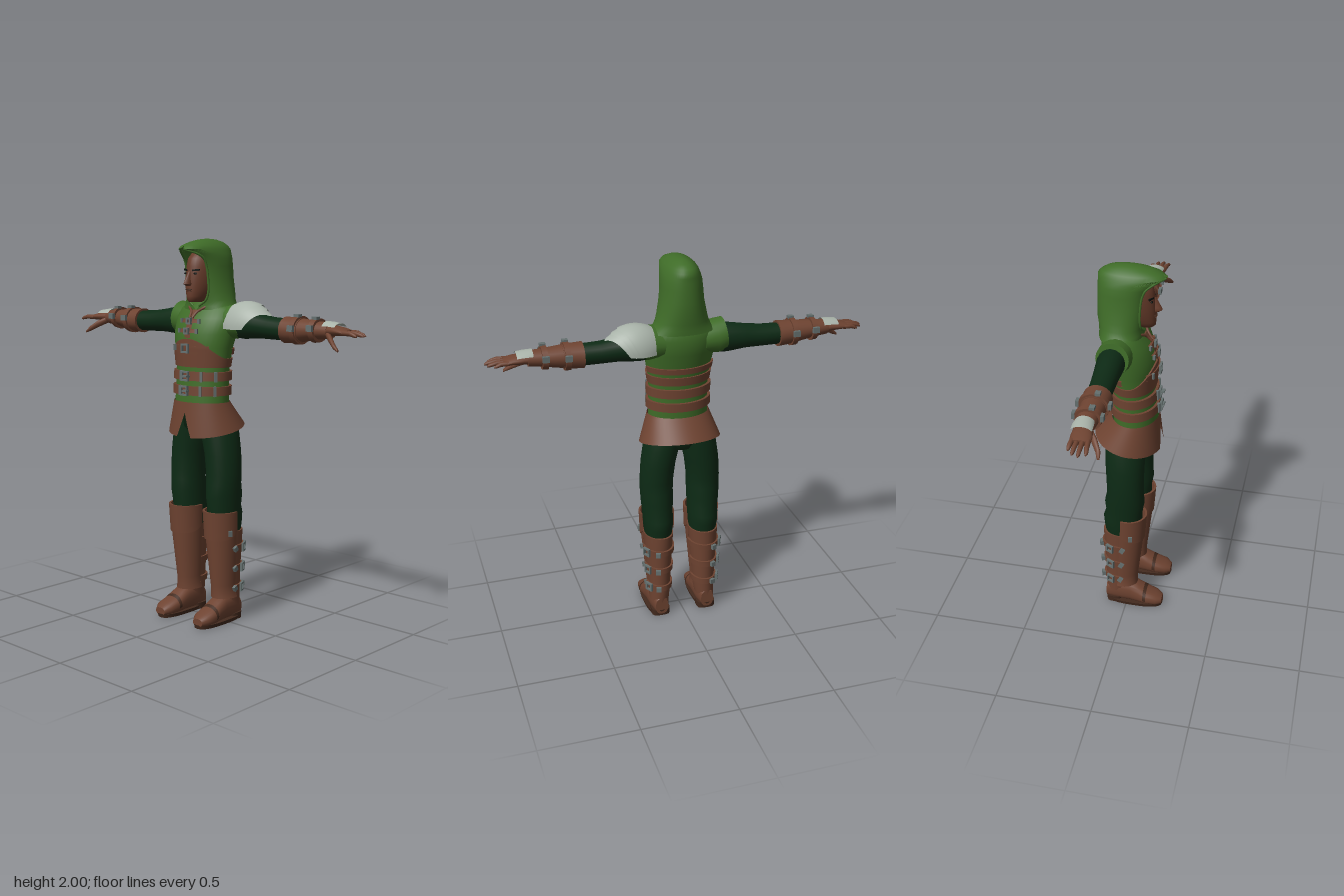
import * as THREE from 'three';
import { toCreasedNormals } from 'three/addons/utils/BufferGeometryUtils.js';

const PI = Math.PI;
const paint = (name, color, side = THREE.DoubleSide) => Object.assign(new THREE.MeshStandardMaterial({ color, side }), { name });

// Smooth normals that keep hard edges (enlarged so small parts stay distinct)
function crease(g, angle = 0.85) {
  g.scale(100, 100, 100);
  g = toCreasedNormals(g, angle);
  return g.scale(0.01, 0.01, 0.01);
}

// Surface from a rule fn(u, v) -> [x, y, z]
function grid(fn, nu, nv) {
  const pos = [], idx = [];
  for (let j = 0; j <= nv; j++) for (let i = 0; i <= nu; i++) pos.push(...fn(i / nu, j / nv));
  for (let j = 0; j < nv; j++) for (let i = 0; i < nu; i++) {
    const a = j * (nu + 1) + i, d = a + nu + 1;
    idx.push(a, a + 1, d + 1, a, d + 1, d);
  }
  const g = new THREE.BufferGeometry();
  g.setAttribute('position', new THREE.Float32BufferAttribute(pos, 3));
  g.setIndex(idx);
  return crease(g);
}

// Point on an oval section row [y, cx, cz, rx, rz]; t = 0 is the front
const pw = (v, e) => Math.sign(v) * Math.abs(v) ** e;
const oval = ([y, cx, cz, rx, rz], t, off = 0, e = 1) =>
  [cx + (rx + off) * pw(Math.sin(t), e), y, cz + (rz + off) * pw(Math.cos(t), e)];

// Closed body from oval rows, bottom to top
function loft(rows, n = 24, e = 1) {
  const end = r => [r[0], r[1], r[2], 0, 0];
  const all = [end(rows[0]), ...rows, end(rows[rows.length - 1])], m = all.length - 1;
  return grid((u, v) => oval(all[Math.round(v * m)], u * 2 * PI, 0, e), n, m);
}
// Open strip of a lofted shape between two angles
const shell = (rows, t0, t1, off = 0, n = 20) =>
  grid((u, v) => oval(rows[Math.round(v * (rows.length - 1))], t0 + (t1 - t0) * u, off), n, rows.length - 1);
// Rows [x, y, z, ry, rz] running along x
const alongX = rows => rows.map(([x, y, z, ry, rz]) => [x, -y, z, ry, rz]);
const limb = (rows, n = 20) => loft(alongX(rows), n).rotateZ(-PI / 2);

function rowAt(rows, y) {
  let i = 0;
  while (i < rows.length - 2 && y > rows[i + 1][0]) i++;
  const a = rows[i], b = rows[i + 1], f = (y - a[0]) / (b[0] - a[0]);
  return a.map((v, k) => v + (b[k] - v) * f);
}
// Band with folded edges lying on a lofted body
function wrap(rows, lo, hi, off, t0 = 0, t1 = 2 * PI, n = 40) {
  return grid((u, v) => {
    const t = t0 + (t1 - t0) * u, k = Math.round(v * 7);
    const f = Math.min(1, Math.max(0, (k - 1) / 5));
    const y = lo(t) + (hi(t) - lo(t)) * f;
    return oval(rowAt(rows, y), t, k === 0 || k === 7 ? -0.004 : off);
  }, n, 7);
}

function mirrorX(geo) {
  const g = geo.index ? geo.toNonIndexed() : geo.clone();
  g.applyMatrix4(new THREE.Matrix4().makeScale(-1, 1, 1));
  for (const a of Object.values(g.attributes)) {
    const s = a.itemSize;
    for (let i = 0; i < a.count; i += 3) for (let k = 0; k < s; k++) {
      const p = (i + 1) * s + k, q = p + s, h = a.array[p];
      a.array[p] = a.array[q]; a.array[q] = h;
    }
  }
  return g;
}

export function createModel() {
  const root = new THREE.Group();
  root.name = 'hoodedArcher';
  const green = paint('hoodGreen', 0x3f6c28), dark = paint('clothDarkGreen', 0x0d2a15), leather = paint('leather', 0x6e4331);
  const skin = paint('skin', 0x663b2a), silver = paint('silverPlate', 0xa9b3a9), metal = paint('buckleMetal', 0x65706f);
  const black = paint('browBlack', 0x0c100c), sole = paint('soleBrown', 0x432a1e);
  const add = (name, geo, mat) => { const m = new THREE.Mesh(geo, mat); m.name = name; root.add(m); };
  const pair = (name, geo, mat) => { add(name + 'Left', geo, mat); add(name + 'Right', mirrorX(geo), mat); };
  const box = (w, h, d, x, y, z, ry = 0, rz = 0) => new THREE.BoxGeometry(w, h, d).rotateZ(rz).rotateY(ry).translate(x, y, z);
  const ball = (r, sx, sy, sz, x, y, z) => new THREE.SphereGeometry(r, 14, 10).scale(sx, sy, sz).translate(x, y, z);
  const tube = (pts, r, n = 24) => new THREE.TubeGeometry(new THREE.CatmullRomCurve3(pts.map(p => new THREE.Vector3(...p))), n, r, 8);
  // Square buckle frame facing +z, then turned about y
  const buckle = (w, h, [x, y, z], ry = 0) => {
    const s = new THREE.Shape(), o = new THREE.Path(), b = 0.009;
    const rect = (p, a, c) => p.moveTo(-a, -c).lineTo(a, -c).lineTo(a, c).lineTo(-a, c).closePath();
    rect(s, w / 2, h / 2); rect(o, w / 2 - b, h / 2 - b); s.holes.push(o);
    return new THREE.ExtrudeGeometry(s, { depth: 0.012, bevelEnabled: false }).rotateY(ry).translate(x, y, z);
  };

  // Tunic
  const torso = [[1.15, 0, 0.018, 0.158, 0.116], [1.25, 0, 0.014, 0.156, 0.114], [1.35, 0, 0.008, 0.157, 0.11], [1.45, 0, 0.003, 0.172, 0.12],
    [1.52, 0, -0.01, 0.184, 0.132], [1.6, 0, -0.03, 0.19, 0.122], [1.645, 0, -0.042, 0.175, 0.1], [1.675, 0, -0.042, 0.12, 0.085], [1.7, 0, -0.035, 0.07, 0.06]];
  add('tunic', loft(torso, 40), green);
  pair('tunicShoulder', limb([[0.1, 1.585, -0.05, 0.075, 0.085], [0.17, 1.58, -0.052, 0.088, 0.088], [0.215, 1.585, -0.055, 0.085, 0.083]])
    .translate(0, -1.585, 0).rotateZ(0.1).translate(0.005, 1.57, 0), green);
  const flat = y => () => y;
  const front = t => Math.max(0, Math.cos(t)) ** 2;
  add('chestHarness', wrap(torso, flat(1.35), t => 1.395 + 0.1 * front(t), 0.008), leather);
  add('backStrap', wrap(torso, flat(1.415), flat(1.445), 0.01, 1.75, 2 * PI - 1.75), leather);
  add('harnessBelt', wrap(torso, flat(1.43), flat(1.46), 0.014, -0.75, 0.75, 20), leather);
  for (const y of [1.305, 1.23]) {
    add('belt', wrap(torso, flat(y - 0.023), flat(y + 0.023), 0.014), leather);
    add('beltBuckle', buckle(0.05, 0.052, oval(rowAt(torso, y), 0, 0.016)), metal);
    add('beltPin', box(0.03, 0.01, 0.03, 0.012, y, 0.15), metal);
    for (const t of [-0.2, 0.55, 1.05]) add('beltLoop', box(0.014, 0.052, 0.014, ...oval(rowAt(torso, y), t, 0.016), t), metal);
  }
  add('harnessBuckle', buckle(0.05, 0.048, oval(rowAt(torso, 1.447), 0, 0.016)), metal);
  add('harnessStud', box(0.014, 0.03, 0.012, ...oval(rowAt(torso, 1.447), -0.5, 0.018), -0.5), metal);

  // Chest closure and collar trim
  add('placket', wrap(torso, flat(1.5), flat(1.64), 0.006, -0.1, 0.1, 4), leather);
  pair('collarTrim', tube([[0.075, 1.675, 0.02], [0.055, 1.655, 0.052], [0.02, 1.63, 0.075], [0.008, 1.6, 0.1]], 0.007), leather);
  for (const y of [1.585, 1.535]) {
    add('chestStrap', wrap(torso, flat(y - 0.009), flat(y + 0.009), 0.012, -0.32, 0.32, 8), leather);
    add('chestBuckle', buckle(0.032, 0.034, oval(rowAt(torso, y), 0, 0.012)), metal);
    pair('chestStud', box(0.014, 0.024, 0.012, ...oval(rowAt(torso, y), 0.3, 0.012), 0.3), metal);
  }

  // Leather skirt with a front slit
  add('skirt', grid((u, v) => {
    const d = 1 - v, gap = 0.23 * Math.max(0, (d - 0.3) / 0.7), t = gap + (2 * PI - 2 * gap) * u;
    const y = 1.17 + (1.025 - 0.038 * Math.cos(t) - 1.17) * d;
    return oval([y, 0, 0.018 - 0.035 * d, 0.163 + 0.052 * d, 0.122 + 0.055 * d], t);
  }, 48, 10), leather);

  // Trousers
  add('hips', loft([[0.98, 0, -0.015, 0.08, 0.07], [1.03, 0, -0.012, 0.165, 0.105], [1.16, 0, 0.01, 0.155, 0.112]], 32), dark);
  pair('trouserLeg', loft([[0.46, 0.125, -0.03, 0.07, 0.085], [0.53, 0.125, -0.028, 0.078, 0.098], [0.58, 0.125, -0.025, 0.08, 0.105], [0.62, 0.126, -0.018, 0.081, 0.098],
    [0.68, 0.127, -0.016, 0.085, 0.106], [0.74, 0.128, -0.012, 0.087, 0.098], [0.8, 0.128, -0.013, 0.088, 0.098], [0.9, 0.119, -0.015, 0.091, 0.102],
    [1, 0.1, -0.015, 0.095, 0.106], [1.08, 0.085, -0.01, 0.085, 0.105]], 28), dark);

  // Boots
  const shaft = [[0.08, 0.13, -0.055, 0.052, 0.06], [0.15, 0.126, -0.04, 0.058, 0.08], [0.3, 0.126, -0.034, 0.067, 0.088], [0.42, 0.126, -0.032, 0.075, 0.098], [0.49, 0.125, -0.03, 0.079, 0.102]];
  const shin = [[0.13, 0.127, -0.026, 0.069, 0.082], [0.16, 0.125, -0.024, 0.063, 0.079], [0.2, 0.125, -0.022, 0.064, 0.08], [0.45, 0.125, -0.004, 0.084, 0.09], [0.6, 0.125, 0.002, 0.088, 0.095]];
  pair('bootShaft', loft(shaft), leather);
  pair('shinGuard', shell(shin, -1.85, 1.85), leather);
  pair('kneeGuard', wrap(shin, t => 0.45 + 0.022 * (t / 1.5) ** 4, flat(0.6), 0.007, -1.8, 1.8, 24), leather);
  pair('kneeStud', box(0.02, 0.03, 0.016, 0.213, 0.49, 0.03, 1.2), metal);
  for (const y of [0.4, 0.29, 0.18]) {
    const r = rowAt(shaft, y);
    pair('bootStrap', wrap(shaft, flat(y - 0.016), flat(y + 0.016), 0.01, 1.5, 2 * PI - 1.5, 24), leather);
    pair('bootBuckle', buckle(0.045, 0.045, oval(r, 2.05, 0.01), 2.05), metal);
    pair('bootStud', box(0.024, 0.026, 0.018, ...oval(rowAt(shin, y), 1.65, 0.006), 1.65, 0.5), metal);
    pair('strapEnd', box(0.026, 0.026, 0.02, ...oval(r, 2.8, 0.016), 2.8), metal);
  }
  // Foot sections run from heel to toe
  const foot = [[-0.115, 0.13, 0.06, 0.035, 0.048], [-0.06, 0.13, 0.08, 0.052, 0.07], [0.02, 0.132, 0.078, 0.054, 0.068], [0.07, 0.134, 0.064, 0.057, 0.055],
    [0.115, 0.136, 0.05, 0.06, 0.042], [0.165, 0.138, 0.042, 0.054, 0.033], [0.197, 0.138, 0.033, 0.032, 0.02]].map(([z, x, y, rx, ry]) => [z, x, -y, rx, ry]);
  pair('foot', loft(foot, 24, 0.8).rotateX(PI / 2), leather);
  pair('toeSeam', shell([rowAt(foot, 0.095), rowAt(foot, 0.112)], PI / 2 - 0.2, 3 * PI / 2 + 0.2, 0.004).rotateX(PI / 2), sole);
  pair('bootSole', loft([[0, 0.135, 0.045, 0.055, 0.152], [0.02, 0.135, 0.045, 0.06, 0.156]], 24, 0.75), sole);
  pair('bootHeel', loft([[0, 0.13, -0.07, 0.05, 0.043], [0.035, 0.13, -0.07, 0.051, 0.046]], 20, 0.6), sole);

  // Sleeves, bracers and straps
  pair('sleeve', limb([[0.13, 1.575, -0.055, 0.07, 0.07], [0.23, 1.572, -0.06, 0.076, 0.07], [0.33, 1.567, -0.058, 0.062, 0.063], [0.42, 1.56, -0.056, 0.056, 0.059], [0.54, 1.557, -0.054, 0.054, 0.058]]), dark);
  const arm = [[0.51, 1.557, -0.054, 0.064, 0.069], [0.53, 1.557, -0.054, 0.06, 0.066], [0.62, 1.56, -0.053, 0.056, 0.061], [0.7, 1.564, -0.053, 0.045, 0.053], [0.78, 1.566, -0.053, 0.038, 0.046]];
  pair('bracer', limb(arm), leather);
  pair('bracerCuff', limb([[0.508, 1.557, -0.054, 0.066, 0.071], [0.535, 1.557, -0.054, 0.064, 0.069], [0.61, 1.559, -0.053, 0.06, 0.065]]), leather);
  for (const x of [0.59, 0.7]) {
    const rows = alongX(arm), r = rowAt(rows, x);
    pair('bracerStrap', wrap(rows, flat(x - 0.014), flat(x + 0.014), 0.013, 0, 2 * PI, 24).rotateZ(-PI / 2), leather);
    for (const s of [1, -1]) pair('bracerBuckle', box(0.034, 0.03, 0.016, x, -r[1] + 0.012, r[2] + s * (r[4] + 0.014)), metal);
    pair('bracerClasp', box(0.03, 0.014, 0.026, x, -r[1] + r[3] + 0.014, r[2] + 0.02), metal);
  }

  // Hands
  const palm = [[0.75, 1.566, -0.052, 0.032, 0.04], [0.8, 1.568, -0.05, 0.026, 0.045], [0.85, 1.566, -0.045, 0.021, 0.05], [0.895, 1.561, -0.043, 0.014, 0.048]];
  pair('palm', limb(palm), leather);
  pair('handPlate', shell(alongX([[0.755, 1.57, -0.053, 0.038, 0.046], [0.795, 1.572, -0.052, 0.034, 0.05], [0.835, 1.572, -0.05, 0.028, 0.05]]), -2.7, -0.45, 0.004).rotateZ(-PI / 2), silver);
  for (const [z0, z1, tip] of [[-0.08, -0.083, 0.945], [-0.056, -0.058, 0.975], [-0.031, -0.029, 0.985], [-0.008, 0.002, 0.967]]) {
    const mid = (0.88 + tip) / 2;
    pair('finger', limb([[0.87, 1.562, z0, 0.012, 0.012], [mid, 1.562, (z0 + z1) / 2, 0.0115, 0.0115], [tip - 0.012, 1.554, z1, 0.009, 0.009], [tip, 1.55, z1, 0.004, 0.004]], 10), leather);
  }
  pair('thumb', limb([[0.775, 1.552, -0.03, 0.018, 0.018], [0.82, 1.528, 0.005, 0.019, 0.016], [0.86, 1.5, 0.03, 0.014, 0.012], [0.887, 1.482, 0.037, 0.006, 0.007]], 12), leather);

  // Layered shoulder armour on the left side only
  for (let k = 0; k < 3; k++) add('pauldronPlate', grid((u, v) => {
    const w = 2 * u - 1, a = 1.62 * w, edge = 0.335 + 0.033 * k - (0.09 + 0.01 * k) * Math.abs(w) ** 1.2;
    const x = 0.16 + (edge - 0.16) * v, r = 0.134 - 0.006 * k - 2.7 * (x - 0.25) ** 2;
    return [x, 1.555 + r * Math.cos(a), -0.06 + 0.85 * r * Math.sin(a)];
  }, 24, 10), silver);

  // Head
  add('neck', loft([[1.6, 0, -0.035, 0.058, 0.058], [1.74, 0, -0.02, 0.052, 0.06]]), skin);
  add('head', loft([[1.68, 0, 0.065, 0.026, 0.04], [1.69, 0, 0.048, 0.038, 0.068], [1.71, 0, 0.03, 0.05, 0.088], [1.74, 0, 0.018, 0.062, 0.1], [1.78, 0, 0.006, 0.071, 0.111],
    [1.82, 0, -0.003, 0.075, 0.116], [1.86, 0, -0.01, 0.076, 0.118], [1.9, 0, -0.012, 0.07, 0.11], [1.93, 0, -0.012, 0.052, 0.085], [1.95, 0, -0.012, 0.02, 0.035]], 32), skin);
  add('nose', loft([[1.762, 0, 0.115, 0.013, 0.016], [1.772, 0, 0.116, 0.018, 0.033], [1.785, 0, 0.115, 0.014, 0.03], [1.835, 0, 0.105, 0.008, 0.012]], 12), skin);
  add('upperLip', ball(0.022, 1, 0.22, 0.4, 0, 1.744, 0.114), sole);
  add('lowerLip', ball(0.018, 1, 0.28, 0.5, 0, 1.735, 0.113), skin);
  pair('eye', ball(0.014, 1, 0.4, 0.4, 0.031, 1.825, 0.101), black);
  pair('eyebrow', box(0.04, 0.009, 0.008, 0.034, 1.842, 0.098, 0.35, 0.08), black);

  // Hood: rows carry a sixth value, half the angle of the face opening
  const hood = [[1.635, 0, -0.05, 0.168, 0.112, 0], [1.66, 0, -0.05, 0.146, 0.113, 0.12], [1.69, 0, -0.05, 0.132, 0.115, 0.45], [1.73, 0, -0.05, 0.122, 0.122, 0.63],
    [1.8, 0, -0.045, 0.108, 0.128, 0.74], [1.86, 0, -0.04, 0.103, 0.133, 0.75], [1.9, 0, -0.03, 0.1, 0.141, 0.74], [1.925, 0, -0.018, 0.094, 0.152, 0.6], [1.947, 0, -0.002, 0.086, 0.168, 0.1],
    [1.965, 0, -0.004, 0.074, 0.15, 0], [1.983, 0, -0.014, 0.052, 0.11, 0], [1.995, 0, -0.02, 0.028, 0.06, 0], [2, 0, -0.02, 0, 0, 0]];
  const hoodAt = (u, i) => oval(hood[i], hood[i][5] + (2 * PI - 2 * hood[i][5]) * u, 0, 0.92);
  add('hood', grid((u, v) => hoodAt(u, Math.round(v * (hood.length - 1))), 44, hood.length - 1), green);
  pair('hoodRim', tube([1, 2, 3, 4, 5, 6, 7, 8].map(i => hoodAt(0, i)), 0.006, 40), green);
  return root;
}
